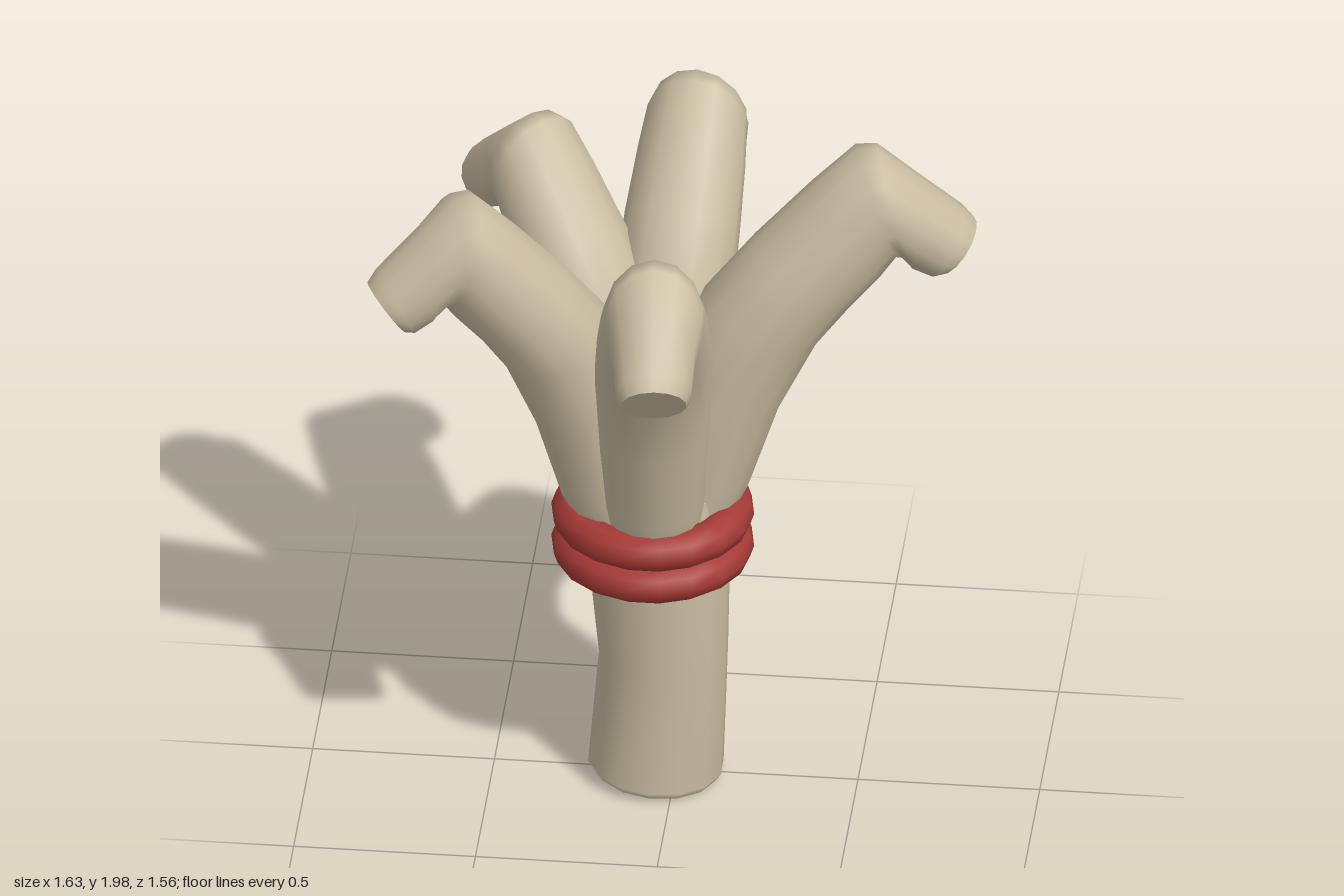
import * as THREE from 'three';

const SIDES = 14;
const AXIS = new THREE.Vector3(-0.06, 0, 0.01);

// Closed solid through elliptical sections {c, u, v}: centre and two half axes
function loft(sections) {
  const pos = [], index = [];
  const addRing = ({ c, u, v }) => {
    const start = pos.length / 3;
    for (let j = 0; j < SIDES; j++) {
      const a = (j / SIDES) * Math.PI * 2;
      const p = c.clone().addScaledVector(u, Math.cos(a)).addScaledVector(v, Math.sin(a));
      pos.push(p.x, p.y, p.z);
    }
    return start;
  };
  const starts = sections.map(addRing);
  for (let i = 0; i + 1 < starts.length; i++) {
    for (let j = 0; j < SIDES; j++) {
      const k = (j + 1) % SIDES, a = starts[i], b = starts[i + 1];
      index.push(a + j, a + k, b + k, a + j, b + k, b + j);
    }
  }
  // End caps with their own corners, so the rims stay crisp
  const cap = (section, flip) => {
    const s = addRing(section), m = pos.length / 3;
    pos.push(section.c.x, section.c.y, section.c.z);
    for (let j = 0; j < SIDES; j++) {
      const k = (j + 1) % SIDES;
      index.push(m, s + (flip ? k : j), s + (flip ? j : k));
    }
  };
  cap(sections[0], true);
  cap(sections[sections.length - 1], false);
  const g = new THREE.BufferGeometry();
  g.setAttribute('position', new THREE.Float32BufferAttribute(pos, 3));
  g.setIndex(index);
  g.computeVertexNormals();
  return g;
}

// Bent limb: inner/top edge (r, y), outer/bottom edge (r, y), half width
const LIMB = [
  [-0.02, 0.84, 0.21, 0.84, 0.12],
  [0.0, 1.0, 0.265, 0.95, 0.14],
  [0.03, 1.3, 0.35, 1.2, 0.155],
  [0.13, 1.53, 0.45, 1.4, 0.165],
  [0.27, 1.7, 0.53, 1.5, 0.16],
  [0.43, 1.87, 0.62, 1.6, 0.15],
  [0.55, 1.985, 0.66, 1.655, 0.14],
  [0.61, 1.985, 0.675, 1.65, 0.135],
  [0.72, 1.89, 0.7, 1.61, 0.115],
  [0.85, 1.775, 0.75, 1.583, 0.105],
  [0.88, 1.735, 0.775, 1.59, 0.09],
];

function limbGeometry(tipX, tipZ, heightScale) {
  const dir = new THREE.Vector3(tipX - AXIS.x, 0, tipZ - AXIS.z);
  const reach = dir.length() / 0.88;
  dir.normalize();
  const side = new THREE.Vector3(-dir.z, 0, dir.x);
  const place = (r, y) => {
    const blend = THREE.MathUtils.clamp((y - 0.9) / 0.6, 0, 1);
    const p = AXIS.clone().addScaledVector(dir, r * (1 + (reach - 1) * blend));
    p.y = y > 1 ? 1 + (y - 1) * heightScale : y;
    return p;
  };
  return loft(LIMB.map(([ri, yi, ro, yo, w]) => {
    const a = place(ri, yi), b = place(ro, yo);
    return {
      c: a.clone().add(b).multiplyScalar(0.5),
      u: a.clone().sub(b).multiplyScalar(0.5),
      v: side.clone().multiplyScalar(w),
    };
  }));
}

export function createModel() {
  const model = new THREE.Group();
  const bone = new THREE.MeshStandardMaterial({ color: 0xc9bca1 });
  bone.name = 'pale bone';
  const red = new THREE.MeshStandardMaterial({ color: 0xa63a36 });
  red.name = 'binding red';

  const add = (name, geometry, material) => {
    const mesh = new THREE.Mesh(geometry, material);
    mesh.name = name;
    model.add(mesh);
    return mesh;
  };

  // Handle: x, y, z, half width in x, half depth in z, tilt
  const handle = [
    [-0.055, 0.018, 0.01, 0.172, 0.165, 0.012],
    [-0.055, 0.04, 0.01, 0.187, 0.18, 0.012],
    [-0.035, 0.4, 0.0, 0.178, 0.178, 0],
    [-0.045, 0.7, 0.01, 0.195, 0.19, 0],
    [-0.06, 0.95, 0.01, 0.19, 0.19, 0],
  ];
  add('handle', loft(handle.map(([x, y, z, w, d, tilt]) => ({
    c: new THREE.Vector3(x, y, z),
    u: new THREE.Vector3(0, 0, d),
    v: new THREE.Vector3(w, -tilt, 0),
  }))), bone);

  // Five limbs: tip x, tip z, height scale
  const limbs = [
    ['leftLimb', 0.81, -0.16, 1.0],
    ['frontLimb', 0.02, 0.78, 0.985],
    ['rightLimb', -0.81, 0.32, 0.975],
    ['backRightLimb', -0.6, -0.53, 0.89],
    ['backLimb', 0.03, -0.78, 0.95],
  ];
  for (const [name, x, z, h] of limbs) add(name, limbGeometry(x, z, h), bone);

  // Two binding rings
  for (const [name, y] of [['lowerRing', 0.755], ['upperRing', 0.858]]) {
    const ring = add(name, new THREE.TorusGeometry(0.223, 0.056, 10, 18), red);
    ring.rotation.x = Math.PI / 2;
    ring.position.set(-0.063, y, 0.015);
  }
  return model;
}
